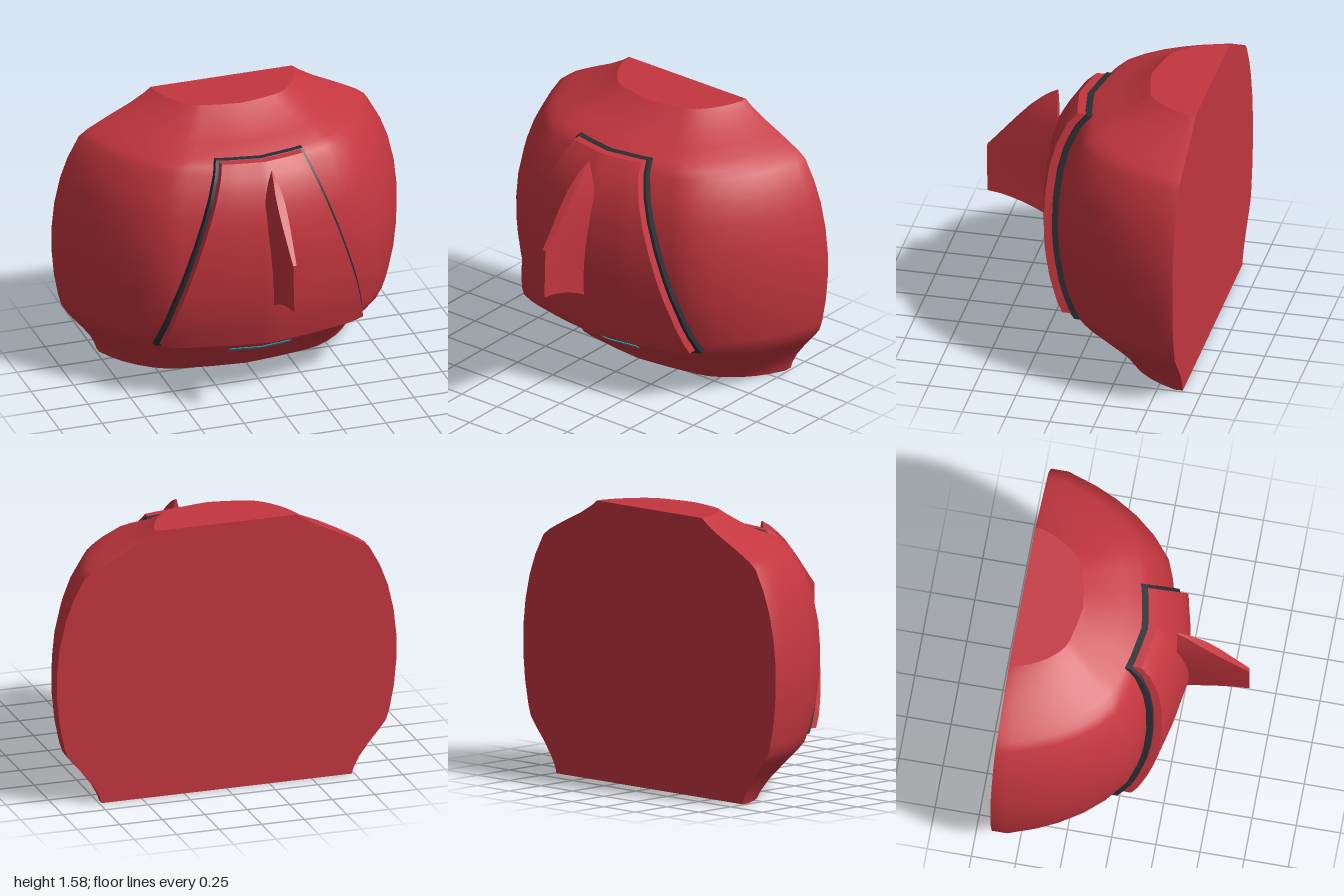
import * as THREE from 'three';
import { mergeGeometries } from 'three/addons/utils/BufferGeometryUtils.js';

const BACK = -0.643;

// Shell rows: [height, half width, front depth at the centre line]
const ROWS = [
  [0, 0.735, -0.205], [0.04, 0.748, -0.17], [0.1, 0.78, -0.105], [0.18, 0.84, 0.0],
  [0.25, 0.9, 0.085], [0.3, 0.938, 0.13], [0.36, 0.957, 0.152], [0.5, 0.984, 0.192],
  [0.65, 0.998, 0.217], [0.8, 0.998, 0.225], [0.95, 0.982, 0.22], [1.1, 0.948, 0.197],
  [1.22, 0.903, 0.162], [1.34, 0.838, 0.1], [1.375, 0.79, 0.07], [1.41, 0.725, 0.035],
  [1.45, 0.645, -0.07], [1.5, 0.54, -0.17], [1.55, 0.455, -0.25], [1.58, 0.415, -0.295],
];
// Plan outline: [fraction of half width, fraction of depth]
const PLAN = [[0, 1], [0.25, 0.955], [0.5, 0.886], [0.6, 0.84], [0.7, 0.745], [0.8, 0.61],
  [0.88, 0.46], [0.94, 0.31], [1, 0.11], [1, 0]];
const OUTLINE = [...PLAN.slice(1).reverse().map(([t, d]) => [-t, d]), ...PLAN];

// Half width of the front panel frame by height
const EDGE = [[0.31, 0.612], [0.4, 0.592], [0.6, 0.54], [0.8, 0.476], [1, 0.408], [1.2, 0.335], [1.41, 0.255]];

// Linear lookup in a table, reading the given column
function look(table, key, col = 1) {
  let i = 1;
  while (i < table.length - 1 && table[i][0] < key) i++;
  const a = table[i - 1], b = table[i];
  const k = THREE.MathUtils.clamp((key - a[0]) / (b[0] - a[0]), 0, 1);
  return a[col] + (b[col] - a[col]) * k;
}

// Depth of the shell surface at a point seen from the front
function shellZ(x, y) {
  const w = look(ROWS, y, 1), front = look(ROWS, y, 2);
  return BACK + (front - BACK) * look(PLAN.slice(0, 9), Math.abs(x) / w);
}

// Sheet of quads; fn takes u and v from 0 to 1 and faces along u cross v
function sheet(nu, nv, fn) {
  const pos = [], idx = [];
  for (let j = 0; j <= nv; j++) for (let i = 0; i <= nu; i++) pos.push(...fn(i / nu, j / nv));
  for (let j = 0; j < nv; j++) for (let i = 0; i < nu; i++) {
    const a = j * (nu + 1) + i, b = a + 1, c = a + nu + 1, d = c + 1;
    idx.push(a, b, d, a, d, c);
  }
  const g = new THREE.BufferGeometry();
  g.setAttribute('position', new THREE.Float32BufferAttribute(pos, 3));
  g.setIndex(idx);
  g.computeVertexNormals();
  return g;
}

// Rounded shell with flat back, top and bottom
function shellGeometry() {
  const n = ROWS.length - 1, m = OUTLINE.length - 1;
  const ring = (row, i) => {
    const [y, w, f] = row, [t, d] = OUTLINE[i];
    return [t * w, y, BACK + (f - BACK) * d];
  };
  const cap = (row, up) => sheet(m, 1, (u, v) => {
    const p = ring(row, Math.round(u * m));
    if (up ? v === 1 : v === 0) p[2] = BACK;
    return p;
  });
  return mergeGeometries([
    sheet(m, n, (u, v) => ring(ROWS[Math.round(v * n)], Math.round(u * m))),
    sheet(1, n, (u, v) => {
      const [y, w] = ROWS[Math.round(v * n)];
      return [w * (1 - 2 * u), y, BACK];
    }),
    cap(ROWS[n], true),
    cap(ROWS[0], false),
  ]);
}

// Slab that follows the shell, raised from offset lo to hi
function slabGeometry(y0, y1, halfWidth, lo, hi) {
  const nu = 16, nv = 18;
  const at = (u, v, k) => {
    const y = y0 + (y1 - y0) * v, x = halfWidth(y) * (2 * u - 1);
    return [x, y, shellZ(x, y) + lo + (hi - lo) * k];
  };
  return mergeGeometries([
    sheet(nu, nv, (u, v) => at(u, v, 1)),
    sheet(1, nv, (u, v) => at(1, v, 1 - u)),
    sheet(1, nv, (u, v) => at(0, v, u)),
    sheet(nu, 1, (u, v) => at(u, 1, 1 - v)),
    sheet(nu, 1, (u, v) => at(u, 0, v)),
  ]);
}

// Blade fin, thick at the root and thin at the front edge
function finGeometry() {
  const TOP = [[0.24, 1.41], [0.3, 1.377], [0.4, 1.288], [0.5, 1.178], [0.6, 1.062], [0.645, 1.012]];
  const LOW = [[0.24, 0.575], [0.29, 0.597], [0.36, 0.635], [0.45, 0.675], [0.55, 0.706], [0.645, 0.72]];
  const THICK = [[0.57, 0.002], [0.75, 0.012], [0.9, 0.025], [1.05, 0.036], [1.2, 0.038], [1.3, 0.031], [1.41, 0.003]];
  const z0 = 0.24, z1 = 0.645;
  const at = (s, v, side) => {
    const z = z0 + (z1 - z0) * s;
    const y = look(LOW, z) + (look(TOP, z) - look(LOW, z)) * v;
    return [side * look(THICK, y) * (1 - 0.7 * s), y, z];
  };
  return mergeGeometries([
    sheet(10, 12, (u, v) => at(1 - u, v, 1)),
    sheet(10, 12, (u, v) => at(u, v, -1)),
    sheet(1, 12, (u, v) => at(1, v, 2 * u - 1)),
    sheet(1, 12, (u, v) => at(0, v, 1 - 2 * u)),
    sheet(1, 10, (u, v) => at(1 - v, 1, 2 * u - 1)),
    sheet(1, 10, (u, v) => at(v, 0, 2 * u - 1)),
  ]);
}

export function createModel() {
  const material = (name, color) => Object.assign(new THREE.MeshStandardMaterial({ color }), { name });
  const red = material('red', 0xc4363f);
  const black = material('charcoal', 0x2b2d33);
  const teal = material('teal', 0x2fa9b8);

  const group = new THREE.Group();
  group.name = 'finnedShell';
  const add = (name, geometry, mat) => {
    const mesh = new THREE.Mesh(geometry, mat);
    mesh.name = name;
    group.add(mesh);
  };

  add('shell', shellGeometry(), red);
  // Dark frame with the raised panel on top of it
  add('panelTrim', slabGeometry(0.308, 1.41, (y) => look(EDGE, y), -0.02, 0.035), black);
  add('frontPanel', slabGeometry(0.33, 1.408, (y) => look(EDGE, y) - 0.018, 0, 0.082), red);
  add('fin', finGeometry(), red);
  // Thin light strip below the panel
  add('lightStrip', slabGeometry(0.211, 0.235, () => 0.18, -0.001, 0.008), teal);
  return group;
}
